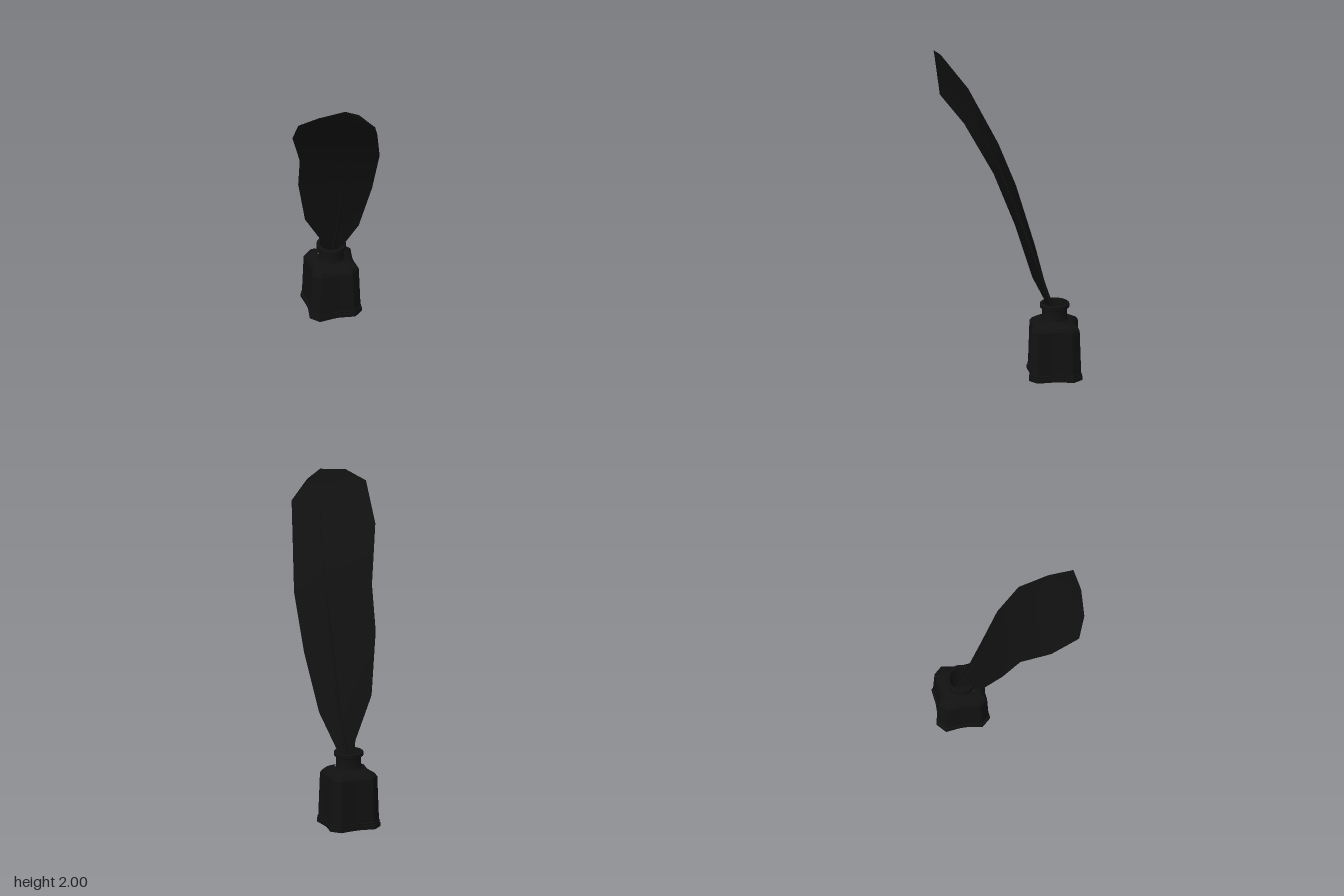
import * as THREE from 'three';
import { toCreasedNormals } from 'three/addons/utils/BufferGeometryUtils.js';

// Stacks rows of points into a surface; closed rows wrap around.
function skin(rows, closed) {
  const n = rows[0].length, index = [];
  for (let j = 0; j < rows.length - 1; j++) {
    for (let i = 0; i < (closed ? n : n - 1); i++) {
      const a = j * n + i, b = j * n + (i + 1) % n;
      index.push(a, a + n, b, b, a + n, b + n);
    }
  }
  const geo = new THREE.BufferGeometry();
  geo.setAttribute('position', new THREE.Float32BufferAttribute(rows.flat(2), 3));
  geo.setIndex(index);
  geo.computeVertexNormals();
  return geo;
}

function addMesh(parent, name, geo, options = {}) {
  const mesh = new THREE.Mesh(geo, new THREE.MeshStandardMaterial({ color: 0x111111, ...options }));
  mesh.name = name;
  parent.add(mesh);
  return mesh;
}

function createBottle() {
  const bottle = new THREE.Group();
  bottle.name = 'inkBottle';

  // Square footprint with chamfered corners and slightly hollow sides
  const quarter = [[0.195, 0], [0.18, 0.07], [0.10, 0.11], [0.065, 0.135]];
  const footprint = [];
  for (let k = 0; k < 4; k++) {
    for (const [x, z] of quarter) {
      footprint.push([[x, z], [-z, x], [-x, -z], [z, -x]][k]);
    }
  }

  // Body: [scale, height] from the underside up to the shoulder
  const profile = [
    [0, 0], [1, 0], [1, 0.025], [0.97, 0.028], [0.985, 0.038], [0.955, 0.042],
    [0.9, 0.31], [0.82, 0.33], [0.66, 0.345], [0.45, 0.355],
  ];
  const rows = profile.map(([s, y]) => footprint.map(([x, z]) => [x * s, y, z * s]));
  addMesh(bottle, 'bottleBody', skin(rows, true), { flatShading: true });

  // Neck with a flared lip and an open well
  const neck = [
    [0.085, 0.345], [0.075, 0.36], [0.075, 0.425], [0.088, 0.432], [0.088, 0.452],
    [0.084, 0.456], [0.068, 0.456], [0.066, 0.15], [0, 0.15],
  ].map(([r, y]) => new THREE.Vector2(r, y));
  addMesh(bottle, 'bottleNeck', toCreasedNormals(new THREE.LatheGeometry(neck, 24), 0.6));

  bottle.position.set(-0.14, 0, -0.28);
  return bottle;
}

function createFeather() {
  const feather = new THREE.Group();
  feather.name = 'quill';

  // Vane cross-sections: right edge, spine, left edge
  const rows = [
    [[-0.165, 0.42, -0.245], [-0.13, 0.41, -0.28], [-0.09, 0.42, -0.29]],
    [[-0.165, 0.5, -0.21], [-0.115, 0.47, -0.262], [-0.065, 0.46, -0.275]],
    [[-0.235, 0.75, -0.085], [-0.06, 0.71, -0.205], [0.05, 0.67, -0.24]],
    [[-0.23, 1.11, 0.045], [0.005, 1.05, -0.10], [0.155, 1.02, -0.185]],
    [[-0.185, 1.37, 0.14], [0.065, 1.36, 0.0], [0.24, 1.36, -0.085]],
    [[-0.16, 1.69, 0.335], [0.135, 1.66, 0.16], [0.29, 1.66, 0.09]],
    [[-0.07, 1.91, 0.475], [0.17, 1.85, 0.29], [0.33, 1.83, 0.235]],
    [[0.05, 1.98, 0.45], [0.185, 2.0, 0.36], [0.25, 1.95, 0.30]],
  ];
  addMesh(feather, 'vane', skin(rows, false), { side: THREE.DoubleSide });

  // Tapered shaft along the spine, its nib reaching down into the bottle
  const spine = rows.slice(0, 7).map((row) => new THREE.Vector3(...row[1]));
  const curve = new THREE.CatmullRomCurve3([new THREE.Vector3(-0.185, 0.2, -0.32), ...spine]);
  const segments = 32, sides = 6;
  const shaft = new THREE.TubeGeometry(curve, segments, 0.013, sides);
  const pos = shaft.attributes.position, p = new THREE.Vector3();
  for (let i = 0; i < pos.count; i++) {
    const t = Math.floor(i / (sides + 1)) / segments;
    const center = curve.getPointAt(t);
    p.fromBufferAttribute(pos, i).sub(center);
    p.multiplyScalar(Math.min(1 - 0.9 * t, 0.1 + t * 12)).add(center);
    pos.setXYZ(i, p.x, p.y, p.z);
  }
  shaft.computeVertexNormals();
  addMesh(feather, 'shaft', shaft);
  return feather;
}

export function createModel() {
  const model = new THREE.Group();
  model.name = 'quillAndInkBottle';
  model.add(createBottle(), createFeather());
  return model;
}
